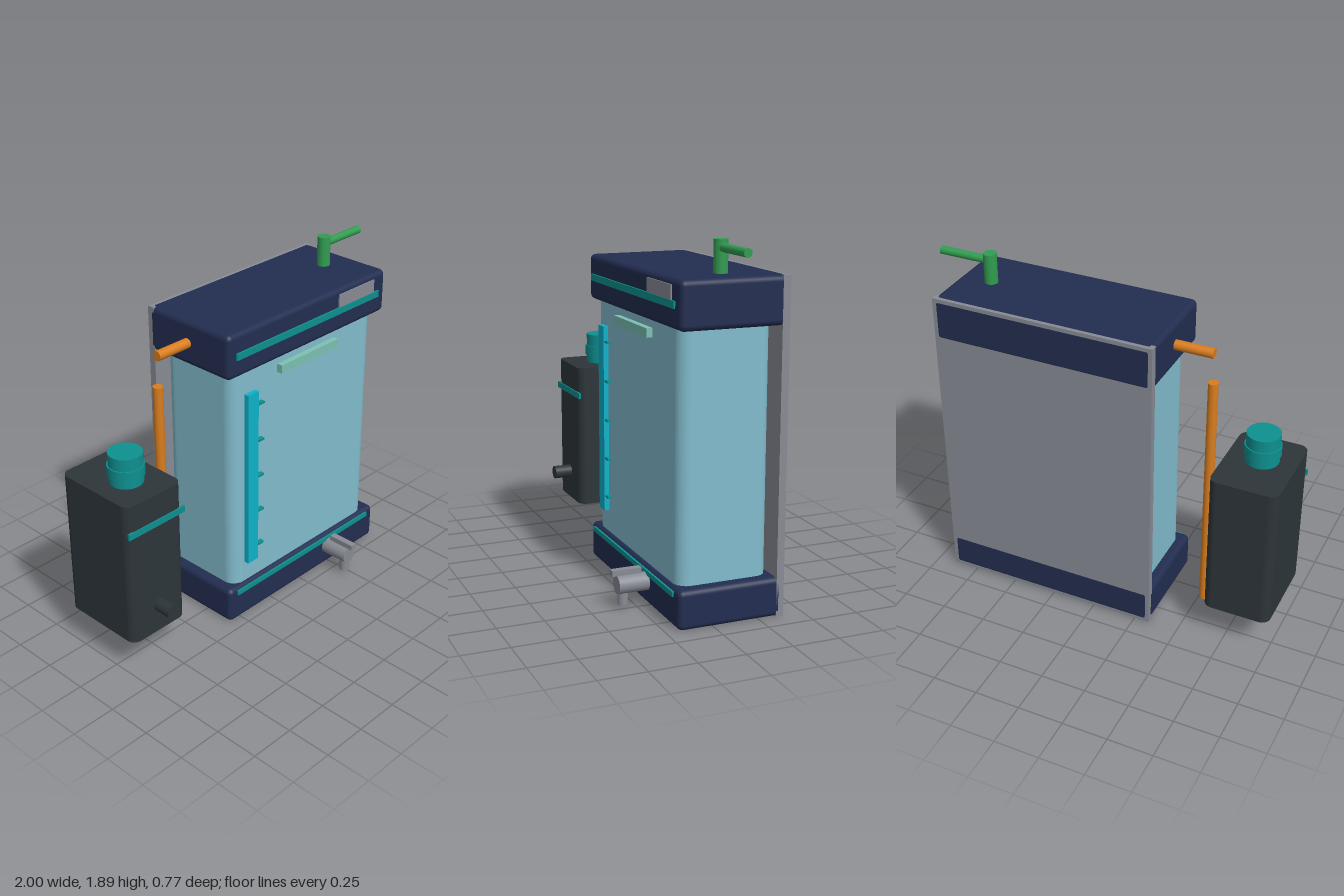
import * as THREE from 'three';
import { RoundedBoxGeometry } from 'three/addons/geometries/RoundedBoxGeometry.js';

const mat = (name, color) => {
  const m = new THREE.MeshStandardMaterial({ color });
  m.name = name;
  return m;
};

export function createModel() {
  const navy = mat('navy', 0x222d50);
  const glass = mat('pale blue', 0x82bccd);
  const grey = mat('grey', 0x888b94);
  const teal = mat('teal', 0x0e9090);
  const cyan = mat('cyan', 0x0eb2ca);
  const mint = mat('mint', 0x7cc0b2);
  const orange = mat('orange', 0xd97d1e);
  const green = mat('green', 0x319d51);
  const dark = mat('charcoal', 0x2d353a);

  const root = new THREE.Group();
  root.name = 'waterTankUnit';

  const add = (name, geometry, material, parent = root) => {
    const mesh = new THREE.Mesh(geometry, material);
    mesh.name = name;
    parent.add(mesh);
    return mesh;
  };
  // Boxes are given by their lower and upper corners
  const place = (mesh, a, b) =>
    mesh.position.set((a[0] + b[0]) / 2, (a[1] + b[1]) / 2, (a[2] + b[2]) / 2);
  const box = (name, a, b, material, parent) =>
    place(add(name, new THREE.BoxGeometry(b[0] - a[0], b[1] - a[1], b[2] - a[2]), material, parent), a, b);
  const roundBox = (name, a, b, r, material, parent) =>
    place(add(name, new RoundedBoxGeometry(b[0] - a[0], b[1] - a[1], b[2] - a[2], 4, r), material, parent), a, b);
  // Cylinder between two points
  const rod = (name, a, b, r, material, parent, sides = 24) => {
    const p = new THREE.Vector3(...a), q = new THREE.Vector3(...b);
    const mesh = add(name, new THREE.CylinderGeometry(r, r, p.distanceTo(q), sides), material, parent);
    mesh.position.copy(p).add(q).multiplyScalar(0.5);
    mesh.quaternion.setFromUnitVectors(new THREE.Vector3(0, 1, 0), q.sub(p).normalize());
  };
  // Upright prism with rounded vertical corners
  const prism = (name, a, b, r, material, parent) => {
    const [x0, y0, z0] = a, [x1, y1, z1] = b;
    const s = new THREE.Shape();
    s.absarc(x1 - r, -z0 - r, r, 0, Math.PI / 2);
    s.absarc(x0 + r, -z0 - r, r, Math.PI / 2, Math.PI);
    s.absarc(x0 + r, -z1 + r, r, Math.PI, Math.PI * 1.5);
    s.absarc(x1 - r, -z1 + r, r, Math.PI * 1.5, Math.PI * 2);
    const g = new THREE.ExtrudeGeometry(s, { depth: y1 - y0, bevelEnabled: false, curveSegments: 8 });
    g.rotateX(-Math.PI / 2).translate(0, y0, 0);
    add(name, g, material, parent);
  };
  const group = (name) => {
    const g = new THREE.Group();
    g.name = name;
    root.add(g);
    return g;
  };

  // Main cabinet: back plate, base, lid and clear tank
  const cabinet = group('cabinet');
  box('backPlate', [-0.335, 0.001, -0.385], [0.895, 1.729, -0.345], grey, cabinet);
  roundBox('base', [-0.335, 0, -0.386], [0.895, 0.207, 0.19], 0.03, navy, cabinet);
  roundBox('lid', [-0.335, 1.485, -0.386], [0.895, 1.73, 0.19], 0.03, navy, cabinet);
  prism('tank', [-0.28, 0.18, -0.33], [0.83, 1.51, 0.165], 0.07, glass, cabinet);
  box('lidTrim', [-0.28, 1.59, 0.185], [0.83, 1.627, 0.2], teal, cabinet);
  box('baseTrim', [-0.28, 0.163, 0.185], [0.83, 0.19, 0.199], teal, cabinet);
  box('lidPanel', [0.5, 1.6, 0.185], [0.79, 1.7, 0.197], grey, cabinet);
  box('tankHandle', [0.05, 1.4, 0.16], [0.5, 1.447, 0.198], mint, cabinet);

  // Level gauge with graduation ticks
  const gauge = group('levelGauge');
  box('gaugeStrip', [-0.195, 0.33, 0.16], [-0.117, 1.36, 0.192], cyan, gauge);
  for (let i = 0; i < 5; i++) {
    const y = 0.415 + i * 0.216;
    box('gaugeTick', [-0.11, y - 0.006, 0.16], [-0.07, y + 0.006, 0.19], teal, gauge);
  }

  // Tap on the base
  const tap = group('tap');
  rod('tapBody', [0.48, 0.127, 0.18], [0.48, 0.127, 0.355], 0.049, grey, tap);
  rod('tapSpout', [0.48, 0.02, 0.322], [0.48, 0.12, 0.322], 0.027, grey, tap);
  box('tapLever', [0.462, 0.18, 0.225], [0.5, 0.21, 0.385], grey, tap);

  // Inlet elbow on the lid
  const inlet = group('inletPipe');
  rod('inletRiser', [0.71, 1.72, -0.1], [0.71, 1.895, -0.1], 0.036, green, inlet);
  rod('inletArm', [0.71, 1.855, -0.1], [1, 1.855, -0.1], 0.022, green, inlet);

  // Overflow outlet and drain pipe
  const overflow = group('overflowPipe');
  rod('overflowArm', [-0.545, 1.61, -0.1], [-0.325, 1.61, -0.1], 0.027, orange, overflow);
  rod('drainPipe', [-0.545, 0.045, -0.1], [-0.545, 1.443, -0.1], 0.027, orange, overflow);

  // Side canister with stepped cap, strap and outlet
  const canister = group('canister');
  prism('canisterBody', [-1, 0.21, -0.35], [-0.63, 1.03, 0.15], 0.05, dark, canister);
  rod('canisterCap', [-0.815, 1.02, -0.06], [-0.815, 1.197, -0.06], 0.09, teal, canister, 32);
  rod('capRing', [-0.815, 1.072, -0.06], [-0.815, 1.13, -0.06], 0.097, teal, canister, 32);
  box('canisterStrap', [-1, 0.852, 0.145], [-0.624, 0.887, 0.157], teal, canister);
  rod('canisterOutlet', [-0.815, 0.372, 0.14], [-0.815, 0.372, 0.25], 0.037, dark, canister);

  return root;
}
